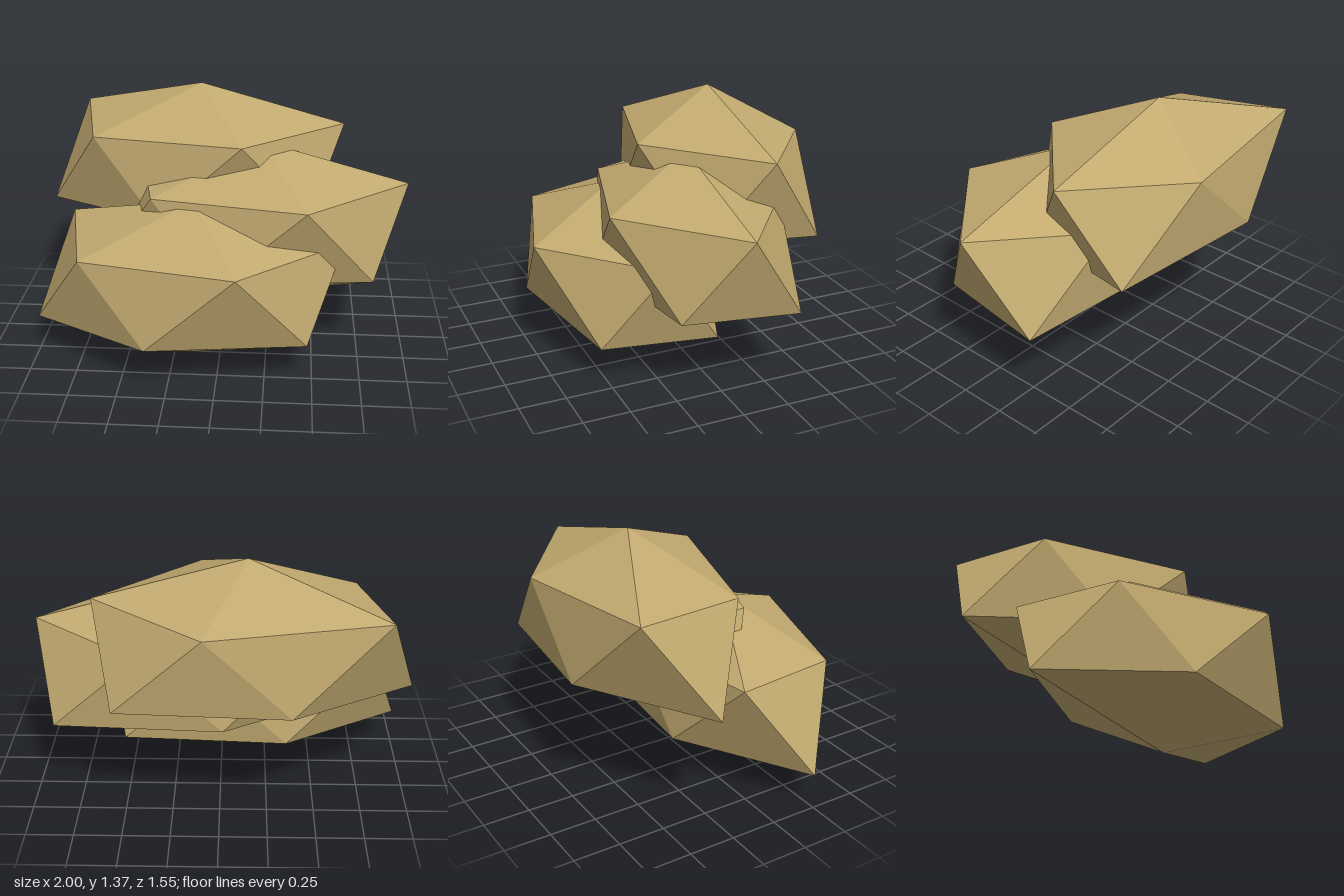
import * as THREE from 'three';

// One faceted boulder: two staggered five-point rings between a top and a bottom point
function boulderGeometry() {
  const top = [-0.14, 0.89, 0.25];
  const bottom = [-0.14, 0, 0.255];
  const upper = [
    [-0.84, 0.69, -0.09], [-0.71, 0.65, 0.53], [0.11, 0.68, 0.77],
    [0.655, 0.67, 0.25], [0.08, 0.64, -0.19],
  ];
  const lower = [
    [-1.0, 0.19, 0.25], [-0.36, 0.235, 0.69], [0.47, 0.215, 0.545],
    [0.54, 0.19, -0.08], [-0.36, 0.23, -0.2],
  ];
  const corners = [];
  const face = (a, b, c) => corners.push(...a, ...b, ...c);
  for (let i = 0; i < 5; i++) {
    const j = (i + 1) % 5;
    face(top, upper[i], upper[j]);
    face(upper[i], lower[i], upper[j]);
    face(upper[j], lower[i], lower[j]);
    face(bottom, lower[j], lower[i]);
  }
  const geometry = new THREE.BufferGeometry();
  geometry.setAttribute('position', new THREE.Float32BufferAttribute(corners, 3));
  geometry.computeVertexNormals();
  return geometry;
}

export function createModel() {
  const group = new THREE.Group();
  group.name = 'rockPile';
  const sandstone = new THREE.MeshStandardMaterial({ color: 0xc2aa70, flatShading: true });
  sandstone.name = 'sandstone';
  const geometry = boulderGeometry();

  // The same boulder stepping up and back, with the middle one shifted sideways
  const boulders = [
    ['frontBoulder', 0, 0, 0],
    ['middleBoulder', 0.345, 0.24, -0.29],
    ['backBoulder', 0, 0.48, -0.58],
  ];
  for (const [name, x, y, z] of boulders) {
    const mesh = new THREE.Mesh(geometry, sandstone);
    mesh.name = name;
    mesh.position.set(x, y, z);
    group.add(mesh);
  }
  return group;
}
